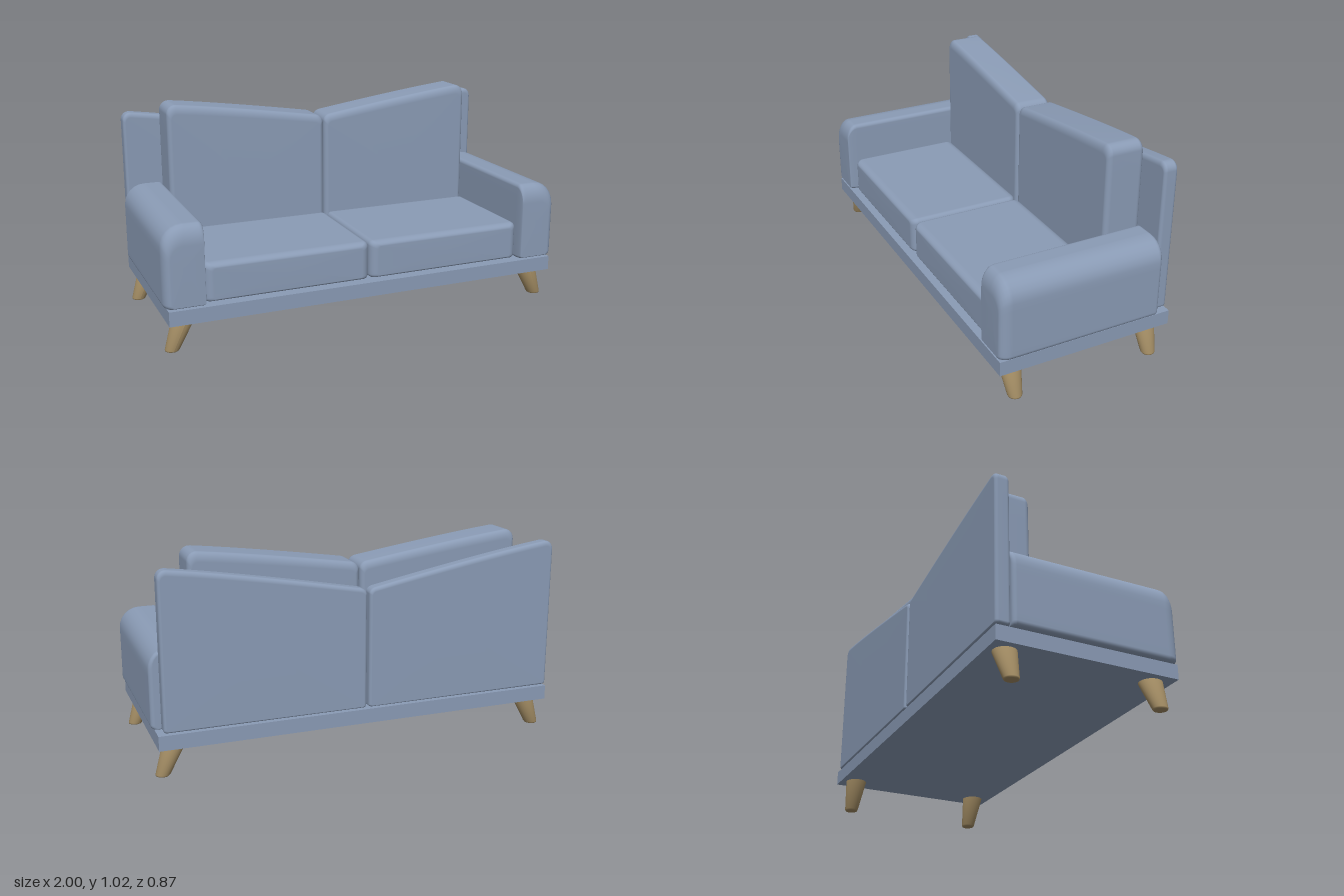
import * as THREE from 'three';

const fabric = new THREE.MeshStandardMaterial({ color: 0x8a9bb5 });
const wood = new THREE.MeshStandardMaterial({ color: 0xa08a62 });

// Rounded rectangle, counterclockwise from the lower inner corner.
// r = corner radii [lowerInner, lowerOuter, upperOuter, upperInner]
function outline(x0, x1, y0, y1, r) {
  const corners = [[x0, y0, 1, 1], [x1, y0, -1, 1], [x1, y1, -1, -1], [x0, y1, 1, -1]];
  const arcs = corners.map(([x, y, sx, sy], c) => {
    const pts = [];
    for (let k = 0; k <= 6; k++) {
      const a = Math.PI * (1 + c / 2 + k / 12);
      pts.push([x + sx * r[c] + r[c] * Math.cos(a), y + sy * r[c] + r[c] * Math.sin(a)]);
    }
    return pts;
  });
  // Divide the straight edges so that the top can follow a curve
  const pts = [];
  arcs.forEach((arc, c) => {
    pts.push(...arc);
    const a = arc[6], b = arcs[(c + 1) % 4][0];
    for (let k = 1; k < 8; k++) {
      pts.push([a[0] + (b[0] - a[0]) * k / 8, a[1] + (b[1] - a[1]) * k / 8]);
    }
  });
  return pts;
}

// Upholstered block lofted along z. x is measured outward on the given side.
// front/back = { depth, inset: [inner, outer, bottom, top] }
// drop lowers the top towards the inner end.
function softBlock(side, { x: [x0, x1], y: [y0, y1], z: [z0, z1], radii, front, back, drop = 0 }) {
  const steps = 6, rings = [];
  const addRing = (edge, f, z) => {
    const [a, b, c, d] = edge.inset.map((v) => v * f);
    const r = radii.map((v) => v * (1 - 0.4 * f));
    const ring = outline(x0 + a, x1 - b, y0 + c, y1 - d, r).map(([x, y]) => {
      const fall = drop * Math.pow(Math.max(0, (x1 - x) / (x1 - x0)), 1.15);
      return [side * x, y - fall * (y - y0) / (y1 - y0), z];
    });
    rings.push(side < 0 ? ring.reverse() : ring);
  };
  for (let i = steps; i >= 0; i--) {
    const a = i / steps * Math.PI / 2;
    addRing(back, 1 - Math.cos(a), z0 + back.depth * (1 - Math.sin(a)));
  }
  for (let i = 0; i <= steps; i++) {
    const a = i / steps * Math.PI / 2;
    addRing(front, 1 - Math.cos(a), z1 - front.depth * (1 - Math.sin(a)));
  }

  const n = rings[0].length, last = rings.length - 1, index = [];
  const points = rings.flat();
  const middle = (y0 + y1 - drop / 2) / 2, cx = side * (x0 + x1) / 2;
  const backCentre = points.push([cx, middle, z0]) - 1;
  const frontCentre = points.push([cx, middle, z1]) - 1;
  for (let j = 0; j < n; j++) {
    const k = (j + 1) % n;
    for (let i = 0; i < last; i++) {
      const a = i * n + j, b = i * n + k, c = b + n, d = a + n;
      index.push(a, b, c, a, c, d);
    }
    index.push(backCentre, k, j, frontCentre, last * n + j, last * n + k);
  }
  const geometry = new THREE.BufferGeometry();
  geometry.setAttribute('position', new THREE.Float32BufferAttribute(points.flat(), 3));
  geometry.setIndex(index);
  geometry.computeVertexNormals();
  return geometry;
}

// Tapered round leg, leaning outward
function legGeometry(side) {
  const profile = [[0, 0], [0.026, 0], [0.031, 0.002], [0.034, 0.008], [0.054, 0.155], [0, 0.155]];
  const geometry = new THREE.LatheGeometry(profile.map(([r, y]) => new THREE.Vector2(r, y)), 28);
  const p = geometry.attributes.position;
  for (let i = 0; i < p.count; i++) {
    p.setX(i, p.getX(i) + side * (0.958 - 0.06 * p.getY(i) / 0.15));
  }
  geometry.computeVertexNormals();
  return geometry;
}

export function createModel() {
  const group = new THREE.Group();
  const add = (name, geometry, material = fabric) => {
    const mesh = new THREE.Mesh(geometry, material);
    mesh.name = name;
    group.add(mesh);
    return mesh;
  };
  const edge = (depth, inset = [depth, depth, depth, depth]) => ({ depth, inset });

  add('base', new THREE.BoxGeometry(1.965, 0.07, 0.87)).position.y = 0.184;

  for (const side of [-1, 1]) {
    const label = side > 0 ? 'left' : 'right';

    add(label + 'Arm', softBlock(side, {
      x: [0.808, 1], y: [0.222, 0.605], z: [-0.365, 0.438],
      radii: [0.015, 0.025, 0.1, 0.02],
      front: edge(0.055, [0.006, 0.035, 0.012, 0.09]),
      back: edge(0.02, [0.006, 0.02, 0.008, 0.025]),
    }));

    add(label + 'SeatCushion', softBlock(side, {
      x: [0.003, 0.806], y: [0.222, 0.407], z: [-0.18, 0.405],
      radii: [0.018, 0.018, 0.024, 0.024],
      front: edge(0.04, [0.04, 0.04, 0.015, 0.025]),
      back: edge(0.04, [0.04, 0.04, 0.015, 0.025]),
    }));

    add(label + 'BackCushion', softBlock(side, {
      x: [0.003, 0.808], y: [0.222, 1.02], z: [-0.362, -0.175],
      radii: [0.02, 0.02, 0.05, 0.035],
      front: edge(0.025, [0.022, 0.022, 0.02, 0.045]),
      back: edge(0.025, [0.022, 0.022, 0.02, 0.045]),
      drop: 0.11,
    }));

    // The back panels sit slightly towards the right
    add(label + 'BackPanel', softBlock(side, {
      x: side > 0 ? [-0.008, 0.957] : [0.02, 0.983],
      y: [0.226, 0.965], z: [-0.435, -0.365],
      radii: [0.015, 0.015, 0.045, 0.03],
      front: edge(0.016, [0.014, 0.014, 0.01, 0.025]),
      back: edge(0.016, [0.014, 0.014, 0.01, 0.025]),
      drop: 0.165,
    }));

    for (const [place, z] of [['Front', 0.347], ['Back', -0.354]]) {
      add(label + place + 'Leg', legGeometry(side), wood).position.z = z;
    }
  }
  return group;
}
